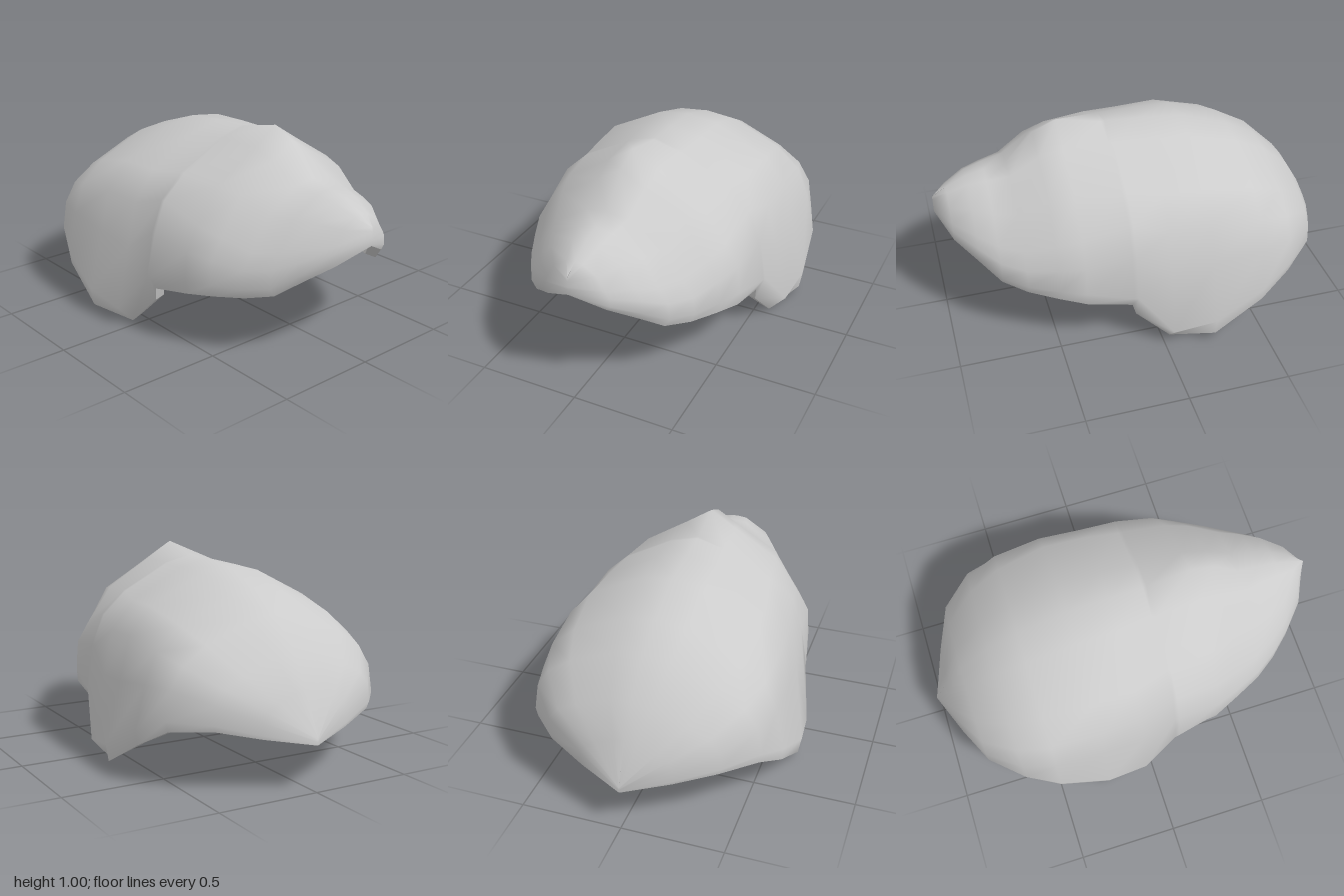
import * as THREE from 'three';
import { mergeVertices } from 'three/addons/utils/BufferGeometryUtils.js';

// Cross-sections from brow to nape:
// z, dome top, crest height, half width, rim x, rim y, shoulder height (0-1),
// drop below the shoulder (0-1), cheek flare (0-1), optional base height of the dome
const STATIONS = [
  [1.0, 0.67, 0, 0, 0, 0.58, 0.77, 0.32, 0],
  [0.93, 0.71, 0, 0.17, 0.15, 0.5, 0.77, 0.32, 0],
  [0.83, 0.76, 0, 0.285, 0.25, 0.42, 0.77, 0.32, 0],
  [0.74, 0.78, 0, 0.365, 0.34, 0.345, 0.77, 0.32, 0],
  [0.63, 0.80, 0, 0.44, 0.42, 0.32, 0.75, 0.31, 0],
  [0.49, 0.89, 0.06, 0.505, 0.49, 0.30, 0.77, 0.31, 0],
  [0.37, 0.93, 0.07, 0.555, 0.55, 0.29, 0.76, 0.26, 0],
  [0.15, 0.93, 0.02, 0.595, 0.56, 0.24, 0.79, 0.16, 0.4],
  [0.13, 0.93, 0.02, 0.597, 0.55, 0.17, 0.79, 0.16, 0.4, 0.235],
  [-0.04, 0.93, 0.01, 0.655, 0.57, 0, 0.82, 0.15, 0.9],
  [-0.25, 0.92, 0, 0.675, 0.66, 0.04, 0.82, 0.15, 1],
  [-0.5, 0.835, 0, 0.64, 0.63, 0.18, 0.8, 0.16, 0.55],
  [-0.66, 0.745, 0, 0.57, 0.56, 0.27, 0.77, 0.17, 0.2],
  [-0.82, 0.59, 0, 0.425, 0.41, 0.288, 0.77, 0.17, 0],
  [-0.91, 0.44, 0, 0.23, 0.22, 0.25, 0.78, 0.17, 0],
  [-1.0, 0.25, 0, 0, 0, 0.215, 0.8, 0.17, 0],
];
const THICKNESS = 0.055;

// One full section, from the right rim over the crest to the left rim
function section([z, top, crest, w, rimX, rimY, shoulder, drop, flare, base = rimY]) {
  const mix = (a, b) => THREE.MathUtils.lerp(a, b, flare);
  const h = top - base;
  const side = shoulder - drop;
  const half = [
    [w * 0.24, base + h * 0.975],
    [w * 0.64, base + h * shoulder],
    [w * mix(0.86, 0.81), base + h * side],
    [w * mix(0.98, 0.88), base + h * side * 0.65],
    [w, base + h * 0.1],
    [rimX, rimY],
  ];
  const right = half.map(([x, y]) => new THREE.Vector3(-x, y, z)).reverse();
  const left = half.map(([x, y]) => new THREE.Vector3(x, y, z));
  return [...right, new THREE.Vector3(0, top + crest, z), ...left];
}

// Shell thickness: step towards a spine inside the helmet
function inset(p) {
  const spineY = p.z < -0.7 ? 0.34 : 0.22 + 0.4 * Math.max(p.z, 0);
  const target = new THREE.Vector3(0, spineY, p.z * 0.6);
  return p.clone().add(target.sub(p).setLength(THICKNESS));
}

// Surface through rows of points
function loft(rows, flip = false) {
  const n = rows[0].length;
  const index = [];
  for (let i = 0; i < rows.length - 1; i++) {
    for (let j = 0; j < n - 1; j++) {
      const a = i * n + j, b = a + 1, c = a + n, d = c + 1;
      if (flip) index.push(a, c, b, b, c, d);
      else index.push(a, b, c, b, d, c);
    }
  }
  let geo = new THREE.BufferGeometry().setFromPoints(rows.flat());
  geo.setIndex(index);
  geo = mergeVertices(geo, 1e-4);
  geo.computeVertexNormals();
  return geo;
}

export function createModel() {
  const group = new THREE.Group();
  group.name = 'helmet';
  const smooth = new THREE.MeshStandardMaterial({ color: 0xcccccc });
  const flat = new THREE.MeshStandardMaterial({ color: 0xcccccc, flatShading: true, side: THREE.DoubleSide });
  const add = (name, geo, mat) => {
    const mesh = new THREE.Mesh(geo, mat);
    mesh.name = name;
    group.add(mesh);
  };

  const outer = STATIONS.map(section);
  const inner = outer.map((row) => row.map(inset));
  add('outerShell', loft(outer), smooth);
  add('innerShell', loft(inner, true), smooth);

  // Rim closing the gap between the two shells on each side
  const last = outer[0].length - 1;
  for (const [name, j] of [['rightRim', 0], ['leftRim', last]]) {
    add(name, loft(outer.map((row, i) => [row[j], inner[i][j]]), j === 0), flat);
  }
  return group;
}
